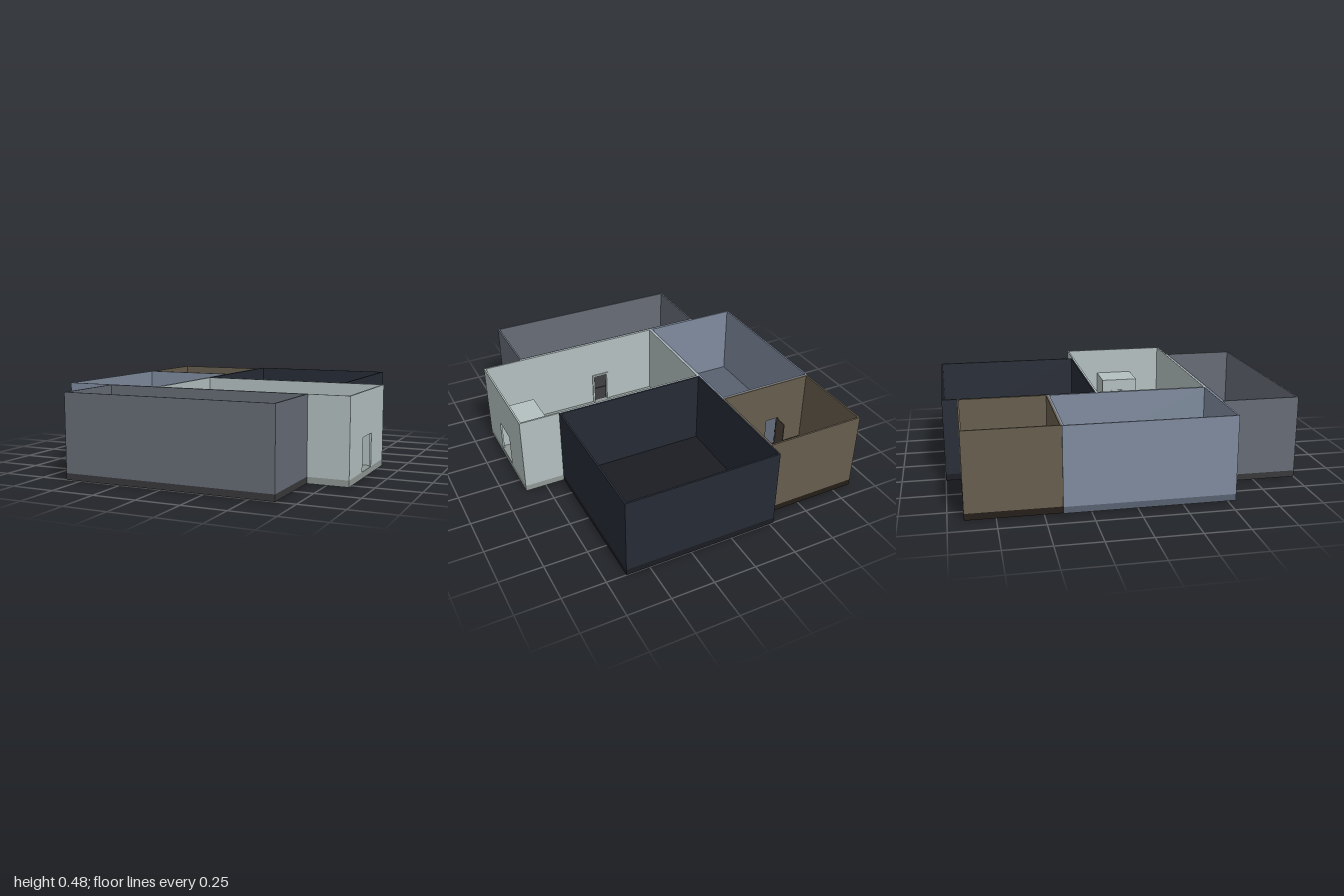
import * as THREE from 'three';

const H = 0.483, FLOOR = 0.037, T = 0.01, DOOR_TOP = 0.23;

const material = (color) => new THREE.MeshStandardMaterial({ color });

// box given by its limits on each axis
function block(name, mat, [x0, x1], [y0, y1], [z0, z1]) {
  const mesh = new THREE.Mesh(new THREE.BoxGeometry(x1 - x0, y1 - y0, z1 - z0), mat);
  mesh.position.set((x0 + x1) / 2, (y0 + y1) / 2, (z0 + z1) / 2);
  mesh.name = name;
  return mesh;
}

// upright panel from u0 to u1 with doorways notched out of its lower edge
function wall(name, mat, axis, u0, u1, at, top, doors = []) {
  const s = new THREE.Shape();
  s.moveTo(u0, FLOOR);
  for (const [a, b] of doors) {
    s.lineTo(a, FLOOR);
    s.lineTo(a, DOOR_TOP);
    s.lineTo(b, DOOR_TOP);
    s.lineTo(b, FLOOR);
  }
  s.lineTo(u1, FLOOR);
  s.lineTo(u1, top);
  s.lineTo(u0, top);
  const mesh = new THREE.Mesh(new THREE.ExtrudeGeometry(s, { depth: T, bevelEnabled: false }), mat);
  if (axis === 'x') mesh.position.z = at;
  else {
    mesh.rotation.y = -Math.PI / 2;
    mesh.position.x = at + T;
  }
  mesh.name = name;
  return mesh;
}

// open-topped room: floor slab and four walls
function room({ name, x, z, wallColor, floorColor, doors = {} }) {
  const g = new THREE.Group();
  g.name = name;
  const m = material(wallColor);
  g.add(block('floor', material(floorColor), x, [0, FLOOR], z));
  g.add(wall('backWall', m, 'x', x[0], x[1], z[0], H, doors.back));
  g.add(wall('frontWall', m, 'x', x[0], x[1], z[1] - T, H, doors.front));
  g.add(wall('rightWall', m, 'z', z[0] + T, z[1] - T, x[0], H, doors.right));
  g.add(wall('leftWall', m, 'z', z[0] + T, z[1] - T, x[1] - T, H, doors.left));
  return g;
}

// three-sided trim round a doorway; place() maps a span along the wall to a block
function trim(name, [a, b], place) {
  const g = new THREE.Group();
  g.name = name;
  const w = 0.012;
  g.add(place([a - w, a], [FLOOR, DOOR_TOP]));
  g.add(place([b, b + w], [FLOOR, DOOR_TOP]));
  g.add(place([a - w, b + w], [DOOR_TOP, DOOR_TOP + w]));
  return g;
}

export function createModel() {
  const model = new THREE.Group();
  model.name = 'floorPlan';

  const hallDoor = [0.06, 0.148], sideDoor = [-0.48, -0.385];
  const storeDoor = [-0.68, -0.595], entry = [0.132, 0.305], lobbyDoor = [0.17, 0.26];

  const rooms = [
    { name: 'frontRoom', x: [-0.592, 0.638], z: [0.547, 1], wallColor: 0x666c76, floorColor: 0x38383b,
      doors: { back: [sideDoor, hallDoor] } },
    { name: 'mainRoom', x: [-0.276, 0.873], z: [-0.117, 0.547], wallColor: 0xb4c0c0, floorColor: 0x8f9895,
      doors: { front: [hallDoor], left: [entry] } },
    { name: 'blueRoom', x: [-0.876, -0.276], z: [-0.4, 0.547], wallColor: 0x7f8b9e, floorColor: 0x596170,
      doors: { front: [sideDoor], back: [storeDoor] } },
    { name: 'storeRoom', x: [-0.869, -0.276], z: [-0.915, -0.4], wallColor: 0x665d4d, floorColor: 0x241d18,
      doors: { front: [storeDoor] } },
    { name: 'darkRoom', x: [-0.276, 0.635], z: [-1, -0.117], wallColor: 0x262b35, floorColor: 0x1a1c22 },
  ];
  rooms.forEach((r) => model.add(room(r)));

  const pale = material(0xb4c0c0), paleFloor = material(0x8f9895);
  const grey = material(0x666c76), brown = material(0x4a4238);

  // low raised panels on the floors
  model.add(block('rug', paleFloor, [-0.11, 0.355], [FLOOR, FLOOR + 0.004], [0.01, 0.417]));
  model.add(block('frontPlatform', material(0x38383b), [-0.567, 0.612], [FLOOR, FLOOR + 0.004], [0.68, 0.99]));

  // entrance lobby inside the main room
  const lobby = new THREE.Group();
  lobby.name = 'entranceLobby';
  const lobbyTop = 0.305;
  lobby.add(wall('lobbyInnerWall', pale, 'z', 0.095, 0.333, 0.64, lobbyTop, [lobbyDoor]));
  lobby.add(wall('lobbyBackWall', pale, 'x', 0.65, 0.863, 0.095, lobbyTop));
  lobby.add(wall('lobbyFrontWall', pale, 'x', 0.65, 0.863, 0.323, lobbyTop));
  lobby.add(block('lobbyRoof', pale, [0.64, 0.863], [lobbyTop, lobbyTop + T], [0.095, 0.333]));
  model.add(lobby);

  // door trims
  model.add(trim('lobbyDoorTrim', lobbyDoor, (u, y) => block('trim', pale, [0.634, 0.64], y, u)));
  model.add(trim('hallDoorTrim', hallDoor, (u, y) => block('trim', pale, u, y, [0.529, 0.537])));

  // door leaves standing open
  const leafY = [FLOOR + 0.002, DOOR_TOP - 0.004];
  model.add(block('lobbyDoor', pale, [0.65, 0.735], leafY, [0.256, 0.262]));
  model.add(block('hallDoor', grey, [0.143, 0.149], leafY, [0.557, 0.638]));
  model.add(block('storeDoor', brown, [-0.676, -0.67], leafY, [-0.49, -0.41]));

  // hinges
  for (const y of [0.075, 0.125, 0.18]) {
    const span = [y, y + 0.014];
    model.add(block('hinge', pale, [0.648, 0.656], span, [0.249, 0.256]));
    model.add(block('hinge', grey, [0.136, 0.143], span, [0.555, 0.562]));
    model.add(block('hinge', brown, [-0.67, -0.663], span, [-0.415, -0.408]));
  }
  return model;
}
